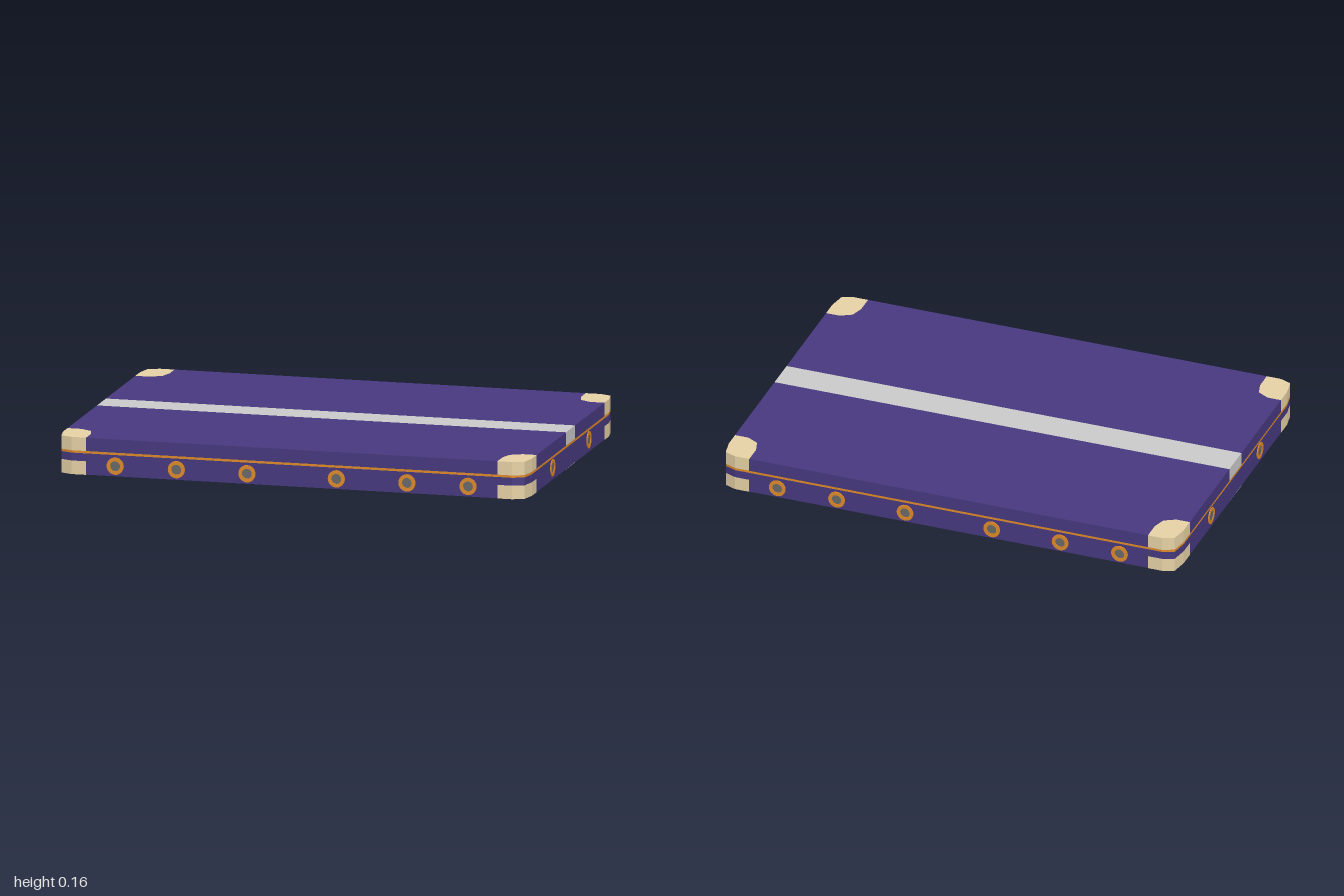
import * as THREE from 'three';

const X = 0.997, Z = 0.689, H = 0.156;
const mat = (color) => new THREE.MeshStandardMaterial({ color, flatShading: true });
const purple = mat(0x47397f), tan = mat(0xe8d3a7), orange = mat(0xe08a2a);
const grey = mat(0xcccccc), dark = mat(0x6a6a6a);

// Rounded outer corner and scalloped inner edge of a corner guard, for the +x +z corner
const outer = [[X, 0.6], [0.984, 0.67], [0.936, Z]];
const inner = [[X, 0.528], [0.938, 0.528], [0.89, 0.555], [0.874, 0.61], [0.874, Z]];
const flip = (pts, sx, sz) => pts.map(([x, z]) => [x * sx, z * sz]);
const mirrorX = (pts) => flip(pts, -1, 1).reverse();

// Upright prism from a plan outline of [x, z] points
function slab(name, pts, y0, y1, material) {
  const shape = new THREE.Shape(pts.map(([x, z]) => new THREE.Vector2(x, -z)));
  const geo = new THREE.ExtrudeGeometry(shape, { depth: y1 - y0, bevelEnabled: false });
  geo.rotateX(-Math.PI / 2).translate(0, y0, 0);
  const mesh = new THREE.Mesh(geo, material);
  mesh.name = name;
  return mesh;
}

// Air vent facing +z: raised ring around a sunken disc
function vent() {
  const g = new THREE.Group();
  g.name = 'airVent';
  const profile = [[0.036, 0], [0.036, 0.005], [0.021, 0.005], [0.021, 0]];
  const ringGeo = new THREE.LatheGeometry(profile.map(([r, y]) => new THREE.Vector2(r, y)), 24);
  const ringMat = orange.clone();
  ringMat.side = THREE.DoubleSide;
  const ring = new THREE.Mesh(ringGeo.rotateX(Math.PI / 2), ringMat);
  ring.name = 'ventRing';
  const disc = new THREE.Mesh(new THREE.CircleGeometry(0.022, 24), dark);
  disc.name = 'ventDisc';
  disc.position.z = 0.0015;
  g.add(ring, disc);
  return g;
}

export function createModel() {
  const model = new THREE.Group();
  model.name = 'mattress';

  // Full-outline layers: side band and piping
  const half = [...outer, ...mirrorX(outer)];
  const full = [...half, ...flip(half, -1, -1)];
  model.add(slab('sideBand', full, 0.057, 0.09, purple));
  model.add(slab('piping', full, 0.09, 0.1, orange));

  // Upper and lower panels, notched for the corner guards
  const panel = (z0) => [...inner, ...mirrorX(inner), [-X, z0], [X, z0]];
  for (const sz of [1, -1]) {
    model.add(slab('topPanel', flip(panel(0.07), 1, sz), 0.1, H, purple));
    model.add(slab('bottomPanel', flip(panel(0), 1, sz), 0.001, 0.057, purple));

    // Corner guards
    for (const sx of [1, -1]) {
      const guard = flip([...outer, ...inner.slice().reverse()], sx, sz);
      model.add(slab('upperCornerGuard', guard, 0.1, H, tan));
      model.add(slab('lowerCornerGuard', guard, 0, 0.057, tan));
    }
  }

  // Centre stripe on top and underside
  const stripe = [[X, 0.07], [-X, 0.07], [-X, -0.07], [X, -0.07]];
  model.add(slab('topStripe', stripe, 0.1, H, grey));
  model.add(slab('bottomStripe', stripe, 0, 0.002, grey));

  // Vents along the long sides, then the short sides
  for (const s of [1, -1]) {
    for (const x of [-0.75, -0.49, -0.19, 0.19, 0.49, 0.75]) {
      const v = vent();
      v.position.set(x, 0.044, s * Z);
      v.rotation.y = s > 0 ? 0 : Math.PI;
      model.add(v);
    }
    for (const z of [-0.282, 0.282]) {
      const v = vent();
      v.position.set(s * X, 0.052, z);
      v.rotation.y = s * Math.PI / 2;
      v.scale.z = 0.6;
      model.add(v);
    }
  }
  return model;
}
